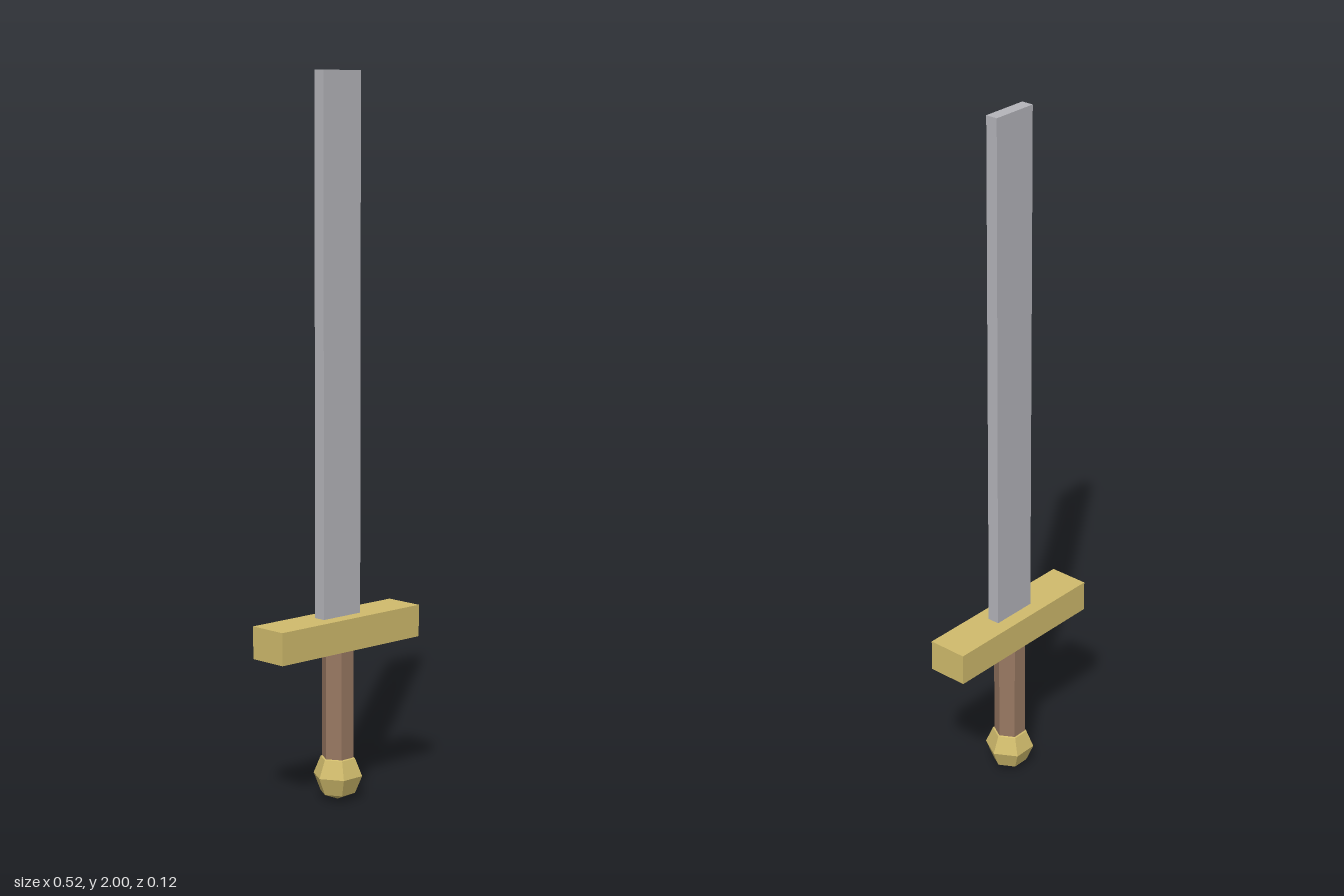
import * as THREE from 'three';

const flat = (name, color) => new THREE.MeshStandardMaterial({ name, color, flatShading: true });

export function createModel() {
  const steel = flat('steel', 0xb4b4ba);
  const gold = flat('gold', 0xd0bb6c);
  const leather = flat('leather', 0x987862);

  const sword = new THREE.Group();
  sword.name = 'sword';

  const add = (name, geometry, material, y) => {
    const mesh = new THREE.Mesh(geometry, material);
    mesh.name = name;
    mesh.position.y = y;
    sword.add(mesh);
    return mesh;
  };

  // Square-ended blade standing on the crossguard
  add('blade', new THREE.BoxGeometry(0.138, 1.48, 0.035), steel, 1.26);

  // Straight crossguard
  add('crossguard', new THREE.BoxGeometry(0.52, 0.09, 0.116), gold, 0.475);

  // Hexagonal grip with corners on the x axis
  const grip = new THREE.CylinderGeometry(0.045, 0.045, 0.33, 6);
  grip.rotateY(Math.PI / 2);
  add('grip', grip, leather, 0.265);

  // Faceted pommel
  add('pommel', new THREE.SphereGeometry(0.07, 6, 4), gold, 0.07);

  return sword;
}
